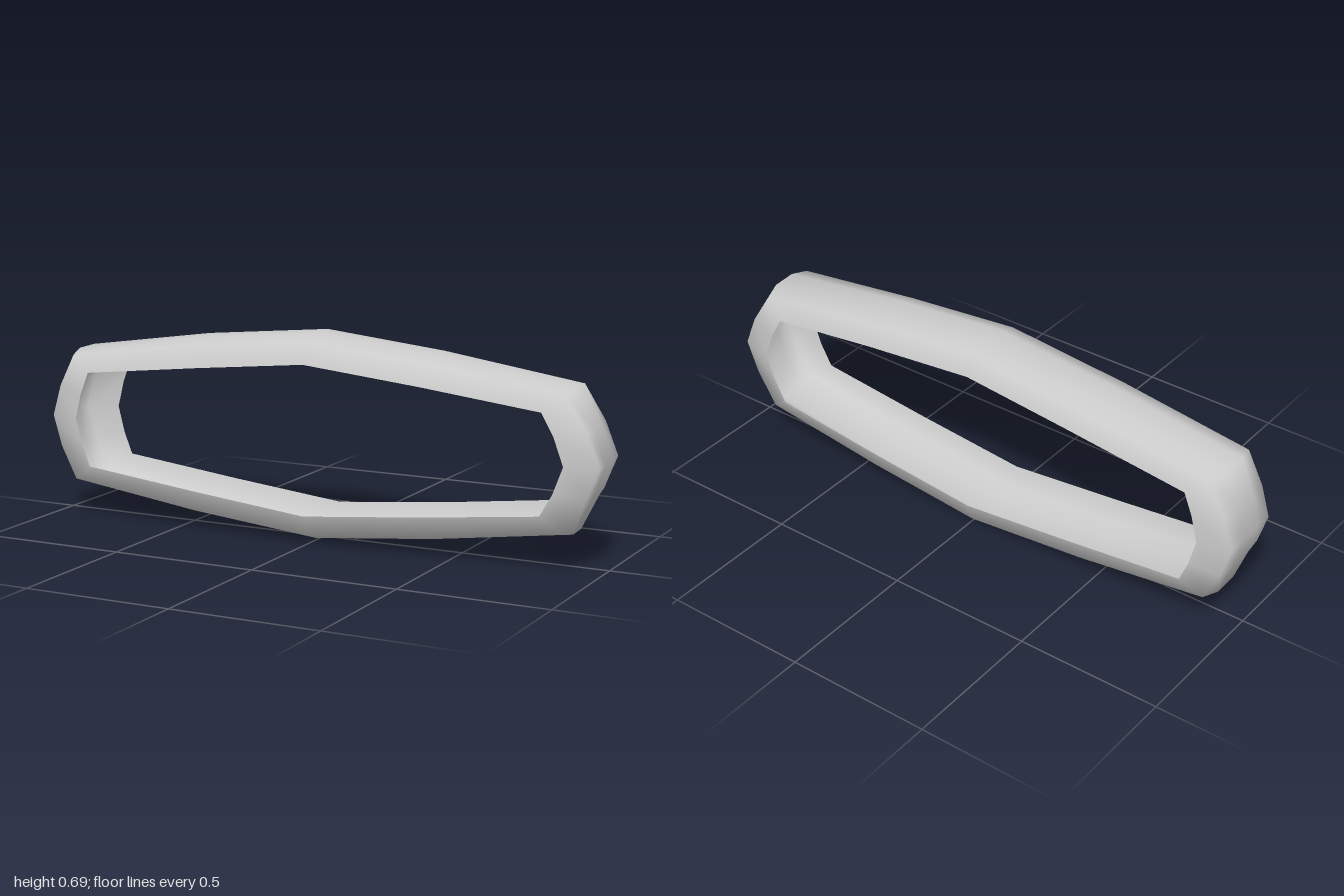
import * as THREE from 'three';

const MID = 0.346; // height of the horizontal symmetry line

// Upper half of the loop, right to left:
// [rim x, rim rise, outer x, outer rise, fullness of the shoulder]
const upper = [
  [0.878, 0, 0.99, 0, 0.99],
  [0.845, 0.09, 0.952, 0.108, 0.94],
  [0.803, 0.165, 0.89, 0.232, 0.81],
  [0.4, 0.213, 0.41, 0.301, 0.78],
  [-0.01, 0.254, -0.01, 0.344, 0.77],
  [-0.41, 0.213, -0.46, 0.301, 0.78],
  [-0.837, 0.165, -0.928, 0.232, 0.81],
  [-0.867, 0.09, -0.974, 0.108, 0.94],
  [-0.89, 0, -1, 0, 0.99],
];
const lower = upper.slice(1, -1).reverse().map(([a, b, c, d, f]) => [a, -b, c, -d, f]);
const stations = [...upper, ...lower];

// Open half-round channel, from the front rim over the shoulders to the back rim
function channel() {
  const pos = [], index = [], n = stations.length, m = 6;
  for (const [rimX, rimY, outX, outY, full] of stations) {
    const section = [
      [0, 0.136], [full, 0.11], [1, 0.045], [1, -0.045], [full, -0.11], [0, -0.136],
    ];
    for (const [t, z] of section) {
      const x = THREE.MathUtils.lerp(rimX, outX, t);
      const y = THREE.MathUtils.lerp(rimY, outY, t) * (1 - 0.08 * z); // back slightly taller
      pos.push(x + (x > 0.7 ? 0.08 * z : 0), MID + y, z); // right end slightly skewed
    }
  }
  for (let i = 0; i < n; i++) {
    for (let j = 0; j < m - 1; j++) {
      const a = i * m + j, b = ((i + 1) % n) * m + j;
      index.push(a, a + 1, b, b, a + 1, b + 1);
    }
  }
  const geo = new THREE.BufferGeometry();
  geo.setAttribute('position', new THREE.Float32BufferAttribute(pos, 3));
  geo.setIndex(index);
  geo.computeVertexNormals();
  return geo;
}

export function createModel() {
  const group = new THREE.Group();
  group.name = 'loopBand';

  // Thin shell, hollow towards the opening
  const shell = new THREE.Mesh(
    channel(),
    new THREE.MeshStandardMaterial({ color: 0xcccccc, side: THREE.DoubleSide }),
  );
  shell.name = 'bandShell';
  group.add(shell);
  return group;
}
